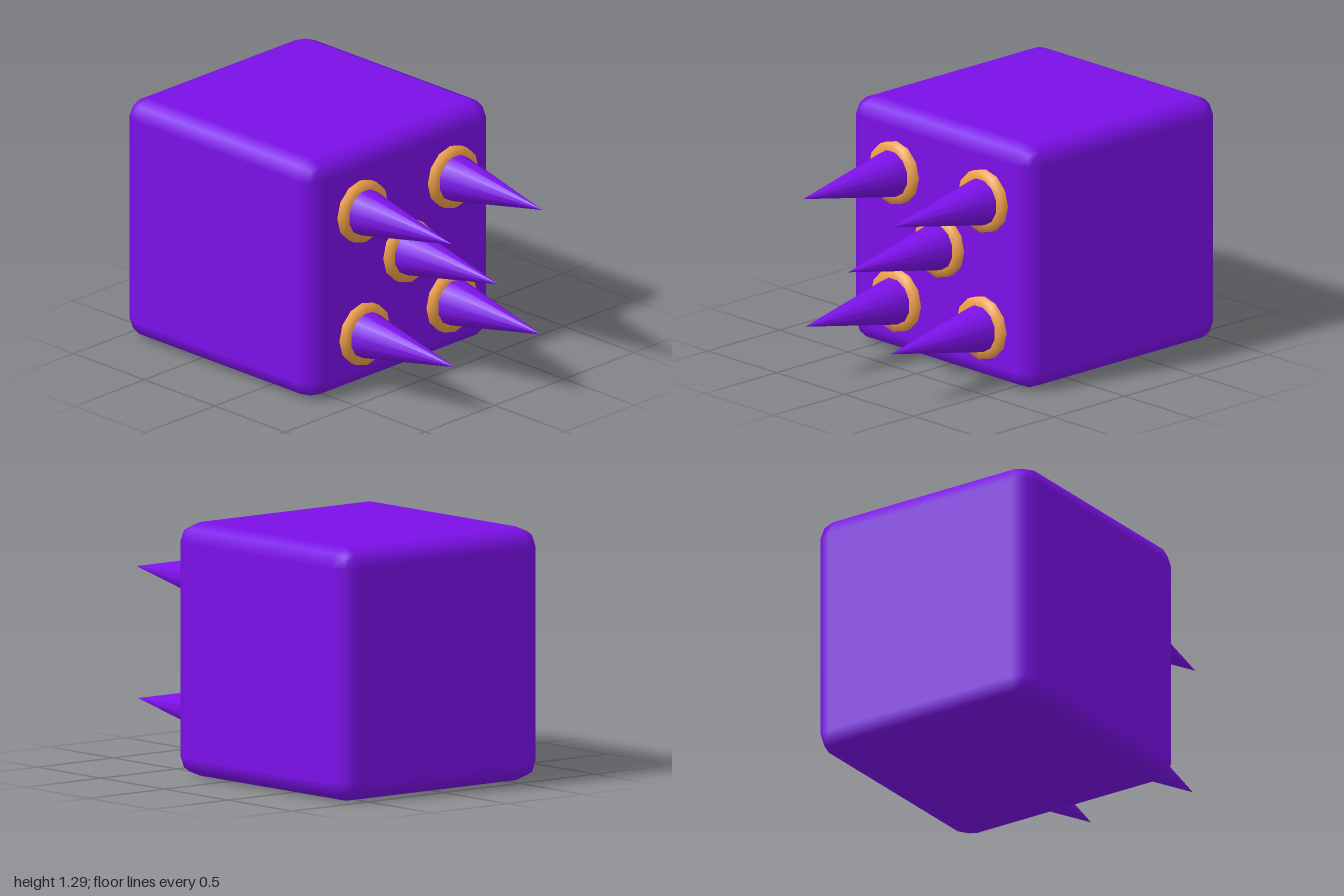
import * as THREE from 'three';
import { RoundedBoxGeometry } from 'three/addons/geometries/RoundedBoxGeometry.js';

export function createModel() {
  const model = new THREE.Group();
  const purple = new THREE.MeshStandardMaterial({ color: 0x7b10e8 });
  const orange = new THREE.MeshStandardMaterial({ color: 0xf0a048 });

  // Bevelled block
  const block = new THREE.Mesh(new RoundedBoxGeometry(1.32, 1.295, 1.345, 1, 0.1), purple);
  block.name = 'block';
  block.position.set(0, 0.6475, -0.3275);
  model.add(block);

  // Collar: flat 12-sided ring with softly shaded rim, axis along +z
  const collarProfile = [[0.163, 0], [0.163, 0.05], [0.11, 0.05]].map(([r, h]) => new THREE.Vector2(r, h));
  const collarGeometry = new THREE.LatheGeometry(collarProfile, 12).rotateX(Math.PI / 2);

  // Spike: 12-sided cone pointing forward, its base sunk into the block
  const spikeLength = 0.7;
  const spikeGeometry = new THREE.ConeGeometry(0.138, spikeLength, 12, 1, false, Math.PI / 12)
    .rotateX(Math.PI / 2)
    .translate(0, 0, 1 - spikeLength / 2);

  // Five spikes in a quincunx on the front face
  const places = [[-0.305, 0.965], [0.345, 0.965], [0.025, 0.653], [-0.29, 0.292], [0.335, 0.29]];
  for (const [x, y] of places) {
    const spikeUnit = new THREE.Group();
    spikeUnit.name = 'spikeUnit';
    spikeUnit.position.set(x, y, 0);

    const collar = new THREE.Mesh(collarGeometry, orange);
    collar.name = 'collar';
    collar.position.z = 0.335;

    const spike = new THREE.Mesh(spikeGeometry, purple);
    spike.name = 'spike';

    spikeUnit.add(collar, spike);
    model.add(spikeUnit);
  }
  return model;
}
